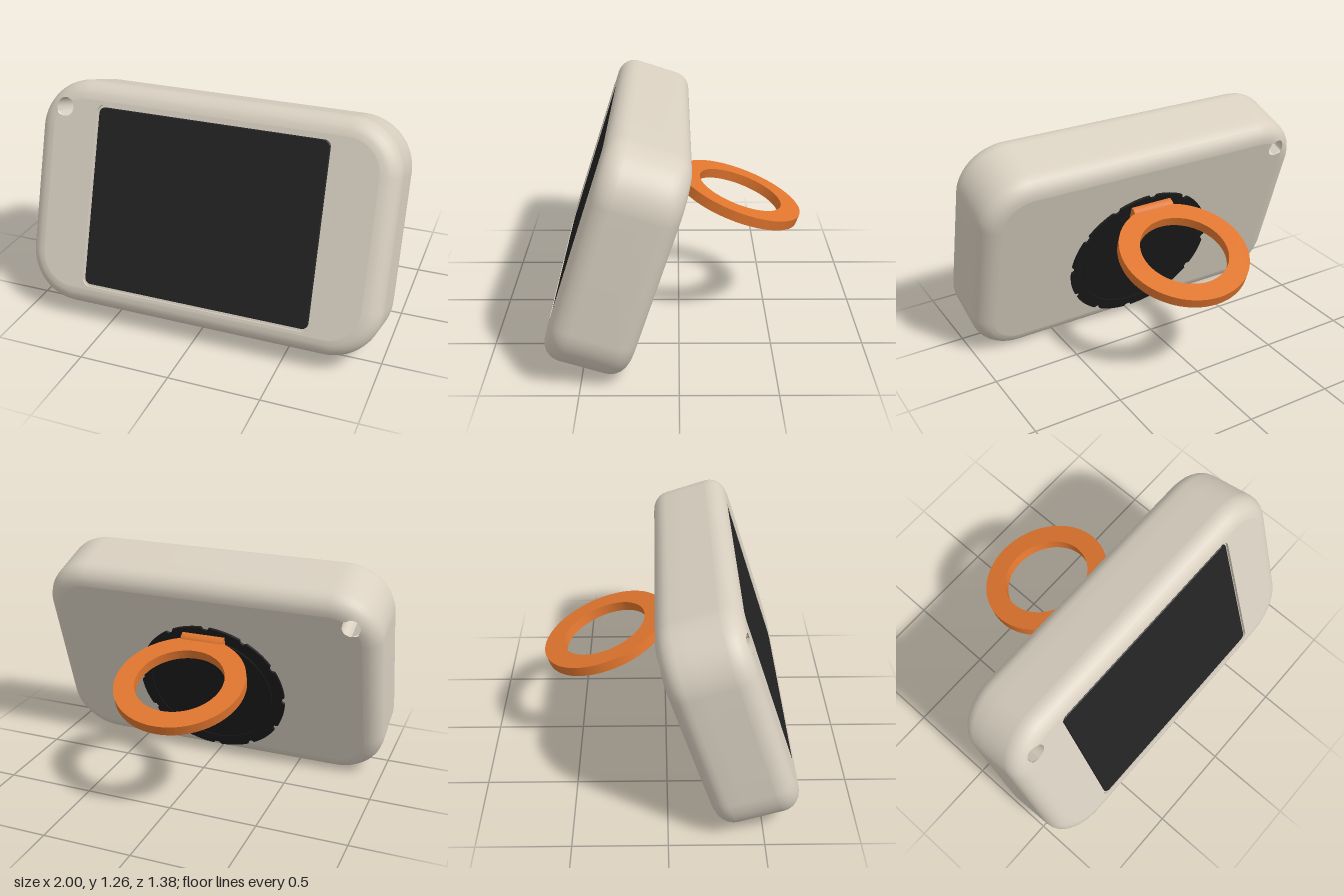
import * as THREE from 'three';
import { mergeGeometries, toCreasedNormals } from 'three/addons/utils/BufferGeometryUtils.js';

const W = 2, H = 1.24, D = 0.446;      // body size
const R = 0.28, B = 0.1;               // corner radius, edge rounding
const HOLE_R = 0.051, HOLE_D = 0.174;  // strap hole radius, distance from corner centre
const SEG = 30;
const TILT = THREE.MathUtils.degToRad(18);

const shell = new THREE.MeshStandardMaterial({ name: 'warm grey shell', color: 0xd8cfc0 });
const glass = new THREE.MeshStandardMaterial({ name: 'dark screen', color: 0x222222 });
const rubber = new THREE.MeshStandardMaterial({ name: 'black pad', color: 0x1b1b1b });
const orange = new THREE.MeshStandardMaterial({ name: 'orange', color: 0xdf752e });

// Where a ray from the corner centre crosses the strap hole: [near, far] or null
function holeSpan(angle) {
  const phi = angle - Math.PI * 0.75;
  const k = HOLE_R ** 2 - (HOLE_D * Math.sin(phi)) ** 2;
  if (k <= 0) return null;
  const m = HOLE_D * Math.cos(phi);
  return [m - Math.sqrt(k), m + Math.sqrt(k)];
}

// Height of the rounded edge at a distance in from the outline
function edgeZ(inset) {
  const t = Math.max(0, B - inset);
  return D / 2 - B + Math.sqrt(Math.max(0, B * B - t * t));
}

// Rounded outline, bypassing the strap hole on its near or far side
function outline(inset, side, pass = 'far') {
  const pts = [];
  [[1, 1], [-1, 1], [-1, -1], [1, -1]].forEach(([sx, sy], c) => {
    for (let i = 0; i <= SEG; i++) {
      const a = (c + i / SEG) * Math.PI / 2;
      let rho = R - inset;
      const span = c === 1 ? holeSpan(a) : null;
      if (span) rho = pass === 'far' ? Math.max(rho, span[1]) : Math.min(rho, span[0]);
      pts.push(new THREE.Vector3(sx * (W / 2 - R) + rho * Math.cos(a),
        sy * (H / 2 - R) + rho * Math.sin(a), side * edgeZ(R - rho)));
    }
  });
  return pts;
}

// Straight-wall outline at depth z, optionally cut in at the bottom
function wall(z, cut = 0) {
  return outline(0, 1).map(p => new THREE.Vector3(p.x, Math.max(p.y, -H / 2 + cut), z));
}

// Skin between successive closed loops
function skin(loops) {
  const pos = [];
  for (let k = 0; k + 1 < loops.length; k++) {
    const a = loops[k], b = loops[k + 1], n = a.length;
    for (let i = 0; i < n; i++) {
      const j = (i + 1) % n;
      for (const p of [a[i], a[j], b[j], a[i], b[j], b[i]]) pos.push(p.x, p.y, p.z);
    }
  }
  const g = new THREE.BufferGeometry();
  g.setAttribute('position', new THREE.Float32BufferAttribute(pos, 3));
  g.scale(100, 100, 100);
  const out = toCreasedNormals(g, 0.6);
  out.scale(0.01, 0.01, 0.01);
  return out;
}

function roundedRect(w, h, r) {
  const s = new THREE.Shape(), x = w / 2 - r, y = h / 2 - r, q = Math.PI / 2;
  s.absarc(x, y, r, 0, q);
  s.absarc(-x, y, r, q, 2 * q);
  s.absarc(-x, -y, r, 2 * q, 3 * q);
  s.absarc(x, -y, r, 3 * q, 4 * q);
  s.closePath();
  return s;
}

function flat(shape, z) {
  const g = new THREE.ShapeGeometry(shape, 8).toNonIndexed();
  g.deleteAttribute('uv');
  return g.translate(0, 0, z);
}

function disc(r, hole) {
  const s = new THREE.Shape().absarc(0, 0, r, 0, Math.PI * 2);
  if (hole) s.holes.push(new THREE.Path().absarc(0, 0, hole, 0, Math.PI * 2));
  return s;
}

const slab = (shape, depth) =>
  new THREE.ExtrudeGeometry(shape, { depth, bevelEnabled: false, curveSegments: 64 });

function add(parent, name, geometry, material) {
  const m = new THREE.Mesh(geometry, material);
  m.name = name;
  parent.add(m);
  return m;
}

function bodyGeometry() {
  const angles = [0, 15, 30, 45, 60, 75, 90].map(THREE.MathUtils.degToRad);
  const bevel = side => angles.map(a => outline(B * (1 - Math.cos(a)), side));

  // Side wall with three grooves along the bottom
  const grooves = [-0.03, 0.04, 0.11].flatMap(z =>
    [wall(z - 0.01), wall(z - 0.01, 0.016), wall(z + 0.01, 0.016), wall(z + 0.01)]);
  const side = skin([...bevel(-1).reverse(), ...grooves, ...bevel(1)]);

  // Strap hole running through the corner
  const rim = s => {
    const far = outline(B, s, 'far'), near = outline(B, s, 'near');
    const ids = far.map((p, i) => i).filter(i => far[i].distanceTo(near[i]) > 1e-4);
    return [...ids.map(i => far[i]), ...ids.reverse().map(i => near[i])];
  };
  const tunnel = skin([rim(1), rim(-1)]);

  // Front face with the screen pocket, and back face
  const pocket = roundedRect(1.3, 1.005, 0.045);
  const pocketPts = pocket.getPoints(8);
  const front = new THREE.Shape(outline(B, 1, 'near').map(p => new THREE.Vector2(p.x, p.y)));
  front.holes.push(new THREE.Path(pocketPts));
  const back = new THREE.Shape(outline(B, 1, 'near').map(p => new THREE.Vector2(-p.x, p.y)));
  const ring = z => pocketPts.map(p => new THREE.Vector3(p.x, p.y, z));
  return mergeGeometries([
    side, tunnel, flat(front, D / 2),
    flat(back, D / 2).rotateY(Math.PI),
    skin([ring(D / 2), ring(D / 2 - 0.016)]),
    flat(pocket, D / 2 - 0.016),
  ]);
}

export function createModel() {
  const model = new THREE.Group();
  model.name = 'pocketDevice';

  // Leaning device
  const device = new THREE.Group();
  device.name = 'device';
  device.position.set(0, 0.632, 0.315);
  device.rotation.x = -TILT;
  model.add(device);
  add(device, 'body', bodyGeometry(), shell);

  // Screen
  const screen = new THREE.ExtrudeGeometry(roundedRect(1.268, 0.968, 0.03), {
    depth: 0.008, bevelThickness: 0.004, bevelSize: 0.004, bevelSegments: 1, curveSegments: 6,
  });
  add(device, 'screen', screen, glass).position.z = D / 2 - 0.015;

  // Round mounting pad with a notched rim and a fine circular groove
  const pad = new THREE.Group();
  pad.name = 'mountingPad';
  pad.position.set(0, -0.1, -D / 2);
  device.add(pad);
  const rimPts = [];
  for (let i = 0; i < 240; i++) {
    const a = i / 240 * Math.PI * 2, r = i % 20 < 3 ? 0.43 : 0.447;
    rimPts.push(new THREE.Vector2(r * Math.cos(a), r * Math.sin(a)));
  }
  const rim = new THREE.Shape(rimPts);
  rim.holes.push(new THREE.Path().absarc(0, 0, 0.374, 0, Math.PI * 2));
  add(pad, 'padRim', slab(rim, 0.014), rubber).position.z = -0.014;
  add(pad, 'padCentre', slab(disc(0.37), 0.014), rubber).position.z = -0.014;
  add(pad, 'padBase', slab(disc(0.4), 0.006), rubber).position.z = -0.006;

  // Ring stand folded out behind, with its hinge barrel
  const stand = new THREE.Group();
  stand.name = 'ringStand';
  stand.position.set(0, 0.8, 0);
  stand.rotation.x = -THREE.MathUtils.degToRad(19.6);
  model.add(stand);
  const ring = slab(disc(0.36, 0.245), 0.056).translate(0, 0, -0.028).rotateX(Math.PI / 2);
  add(stand, 'ring', ring, orange).position.z = -0.362;
  const barrel = toCreasedNormals(
    new THREE.CylinderGeometry(0.045, 0.045, 0.25, 12).rotateZ(Math.PI / 2), 0.6);
  add(stand, 'hinge', barrel, orange);

  return model;
}
